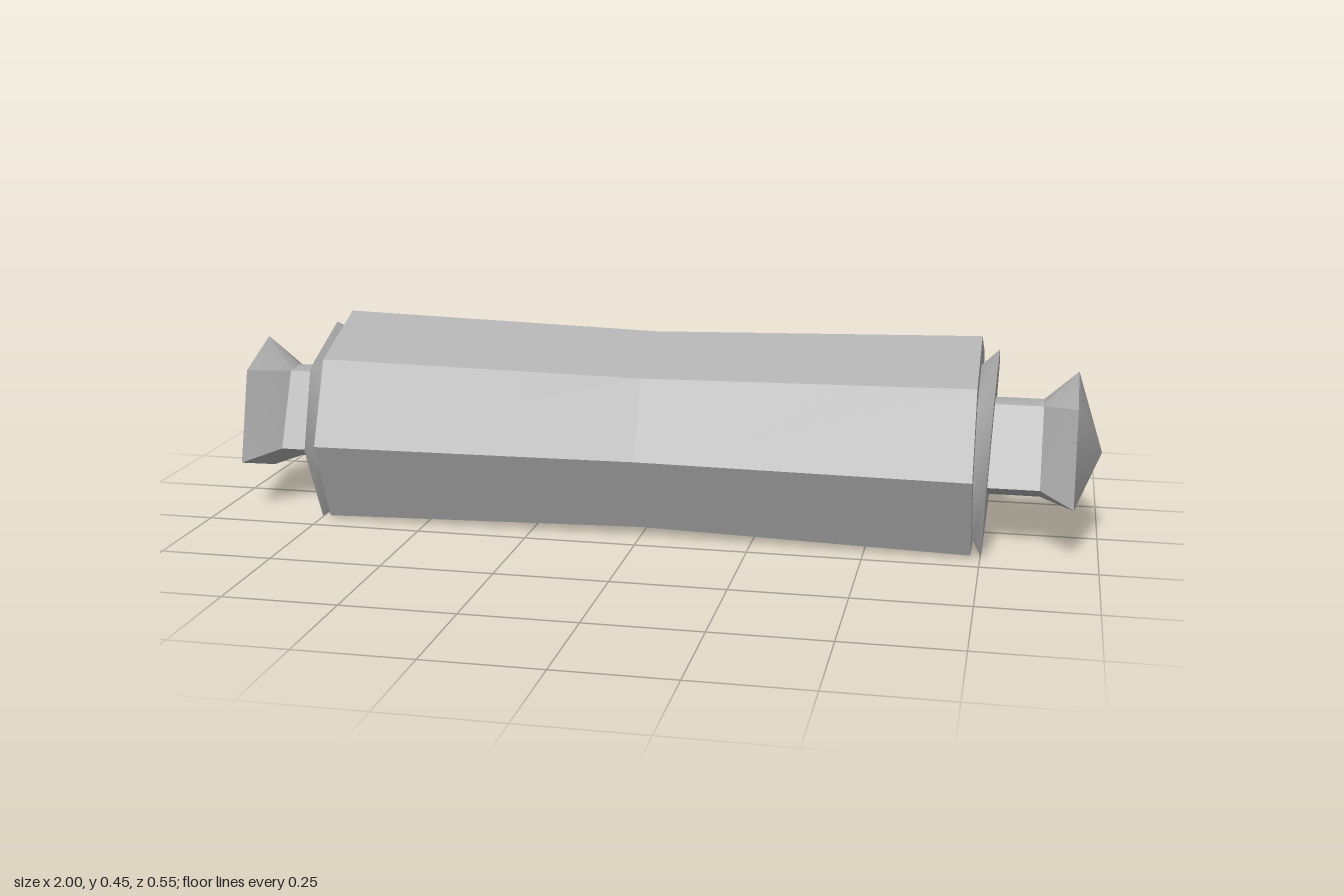
import * as THREE from 'three';
import { toCreasedNormals } from 'three/addons/utils/BufferGeometryUtils.js';

// Joins cross-sections along x; each ring holds [x, y, z] corners running top -> +z -> bottom -> -z.
// The tips close both ends; side = -1 mirrors the shape onto the -x end.
function loft(rings, startTip, endTip, side = 1) {
  const n = rings[0].length;
  const points = [...rings.flat(), startTip, endTip];
  const start = rings.length * n, end = start + 1, last = start - n;
  const index = [];
  const tri = (a, b, c) => index.push(...(side > 0 ? [a, b, c] : [a, c, b]));
  for (let j = 0; j < n; j++) {
    const k = (j + 1) % n;
    for (let i = 0; i < rings.length - 1; i++) {
      const a = i * n + j, b = i * n + k;
      tri(a, b, a + n);
      tri(b, b + n, a + n);
    }
    tri(start, k, j);
    tri(end, last + j, last + k);
  }
  const geometry = new THREE.BufferGeometry();
  const coords = points.flatMap(([x, y, z]) => [x * side, y, z]);
  geometry.setAttribute('position', new THREE.Float32BufferAttribute(coords, 3));
  geometry.setIndex(index);
  return toCreasedNormals(geometry, 0.6);
}

// Octagon without its lowest corner, so that it rests on a flat base
const OUTLINE = [[0, 0.26], [0.195, 0.185], [0.273, 0], [0.193, -0.184],
  [-0.193, -0.184], [-0.273, 0], [-0.195, 0.185]];
const octagon = (scale, centreY, xAt) => OUTLINE.map(([z, y]) => {
  const height = centreY + y * scale;
  return [xAt(height), height, z * scale];
});

// Irregular hand-cut sections of the handle, as [z, y]
const NECK = [[0, 0.315], [0.05, 0.31], [0.125, 0.14], [0.004, 0.092],
  [-0.07, 0.1], [-0.112, 0.18], [-0.08, 0.275]];
const KNOB = [[0, 0.38], [0.137, 0.327], [0.193, 0.12], [0.005, 0.065],
  [-0.11, 0.08], [-0.193, 0.173], [-0.135, 0.303]];
const section = (shape, x) => shape.map(([z, y]) => [x, y, z]);

export function createModel() {
  const group = new THREE.Group();
  const grey = new THREE.MeshStandardMaterial({ color: 0xb0b0b0 });
  grey.name = 'plain grey';
  const add = (name, geometry, parent = group) => {
    const mesh = new THREE.Mesh(geometry, grey);
    mesh.name = name;
    parent.add(mesh);
  };

  // Roller, slightly waisted in the middle
  const body = [[-0.73, 1], [0, 0.925], [0.73, 1]]
    .map(([x, scale]) => octagon(scale, 0.19, () => x));
  add('roller', loft(body, [-0.73, 0.19, 0], [0.73, 0.19, 0]));

  for (const side of [1, -1]) {
    const end = new THREE.Group();
    end.name = side > 0 ? 'leftEnd' : 'rightEnd';
    group.add(end);

    // Thin collar, tapered towards the roller and leaning outwards at the top
    const rimX = (y) => 0.752 + 0.04 * y;
    const collar = [octagon(0.78, 0.18, () => 0.728), octagon(0.95, 0.175, rimX)];
    add('collar', loft(collar, [0.728, 0.18, 0], [rimX(0.18), 0.18, 0], side), end);

    // Neck flaring into a pointed knob
    const handle = [section(NECK, 0.745), section(NECK, 0.87), section(KNOB, 0.942)];
    add('handle', loft(handle, [0.745, 0.2, 0], [1, 0.2, 0], side), end);
  }
  return group;
}
